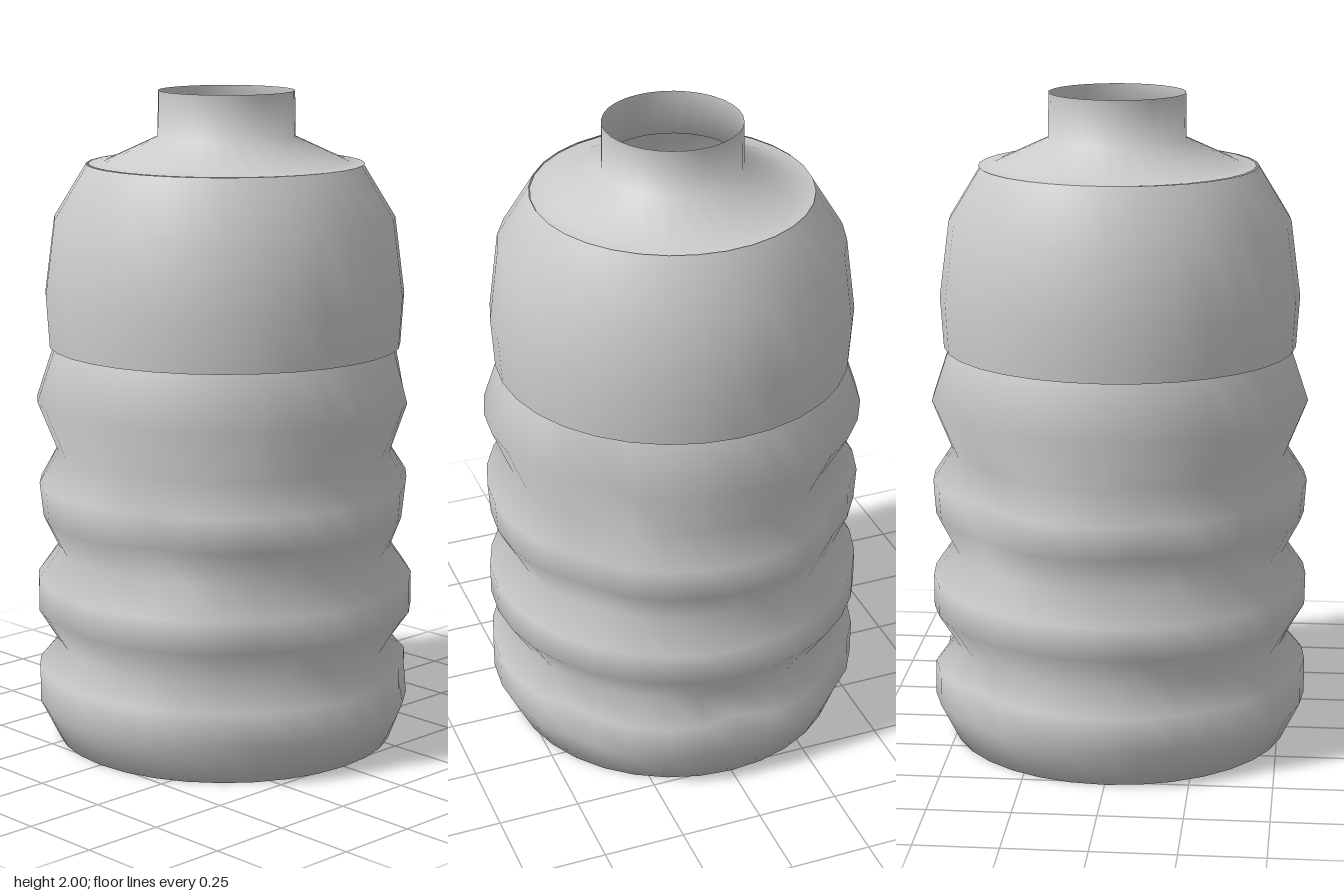
import * as THREE from 'three';
import { mergeVertices } from 'three/addons/utils/BufferGeometryUtils.js';

const SIDES = 32;
const material = new THREE.MeshStandardMaterial({ color: 0xcccccc, side: THREE.DoubleSide });

// Turned part with one continuous smooth surface and no seam
function turned(name, profile, shape) {
  let geo = new THREE.LatheGeometry(profile.map(([r, y]) => new THREE.Vector2(r, y)), SIDES);
  geo.deleteAttribute('uv');
  geo.deleteAttribute('normal');
  geo = mergeVertices(geo, 1e-4);
  if (shape) shape(geo.attributes.position);
  geo.computeVertexNormals();
  const mesh = new THREE.Mesh(geo, material);
  mesh.name = name;
  return mesh;
}

// Dents: angle from the front towards +x (degrees), height, depth, spread
const dents = [
  [25, 0.73, 0.04, 0.08],
  [-45, 0.72, 0.025, 0.1],
  [-12, 0.42, 0.015, 0.1],
  [-75, 0.75, 0.03, 0.09],
  [-60, 0.2, 0.02, 0.1],
  [-135, 0.8, 0.05, 0.12],
  [-135, 0.2, 0.03, 0.1],
  [128, 0.2, 0.04, 0.09],
  [135, 1.07, 0.04, 0.1],
  [178, 0.21, 0.05, 0.08],
  [130, 0.75, 0.03, 0.1],
  [60, 0.45, 0.02, 0.09],
  [45, 0.15, 0.02, 0.1],
];

function pressDents(pos) {
  for (let i = 0; i < pos.count; i++) {
    const x = pos.getX(i), y = pos.getY(i), z = pos.getZ(i);
    const r = Math.hypot(x, z);
    if (r < 0.1 || y < 0.05 || y > 1.18) continue;
    const a = Math.atan2(x, z);
    let push = 0;
    for (const [deg, h, depth, spread] of dents) {
      let d = a - THREE.MathUtils.degToRad(deg);
      d = Math.atan2(Math.sin(d), Math.cos(d)) * r;
      push += depth * Math.exp(-(d * d + (y - h) ** 2) / (spread * spread));
    }
    const k = (r - push) / r;
    pos.setX(i, x * k);
    pos.setZ(i, z * k);
  }
}

export function createModel() {
  const bottle = new THREE.Group();
  bottle.name = 'bottle';

  // Closed base and ribbed, dented lower body
  bottle.add(turned('ribbedBody', [
    [0, 0], [0.3, 0], [0.52, 0], [0.58, 0.12], [0.58, 0.23], [0.515, 0.305],
    [0.58, 0.41], [0.58, 0.51], [0.515, 0.605], [0.57, 0.71], [0.577, 0.815],
    [0.515, 0.91], [0.577, 1.065], [0.522, 1.23],
  ], pressDents));

  // Small step under the smooth upper body
  bottle.add(turned('step', [[0.522, 1.23], [0.537, 1.232]]));

  // Smooth upper body
  const upper = turned('upperBody', [
    [0.537, 1.232], [0.547, 1.39], [0.517, 1.62], [0.418, 1.782],
  ]);
  bottle.add(upper);

  // Sloping shoulder running into the open neck
  const neck = turned('shoulderAndNeck', [
    [0.418, 1.782], [0.37, 1.787], [0.208, 1.862], [0.206, 2],
  ]);
  neck.position.z = -0.008;
  bottle.add(neck);

  return bottle;
}
